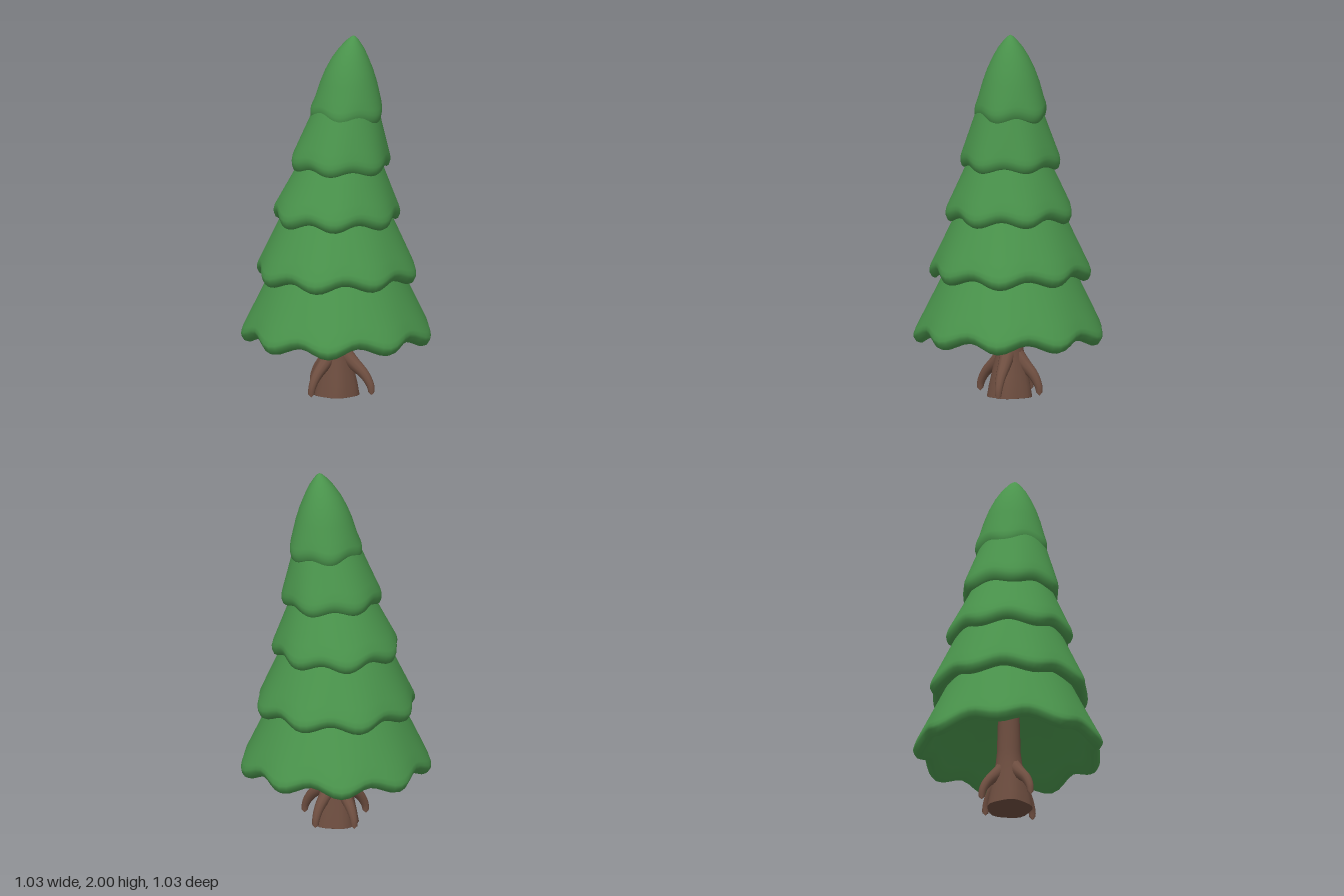
import * as THREE from 'three';

const green = new THREE.MeshStandardMaterial({ color: 0x4a944c });
green.name = 'needleGreen';
const brown = new THREE.MeshStandardMaterial({ color: 0x6e4e40 });
brown.name = 'barkBrown';

const lerp = THREE.MathUtils.lerp;

// Closed-loop loft: rings run from the inside/bottom to the top.
// point(ring, angle) returns [x, y, z].
function loft(rings, segments, point) {
  const pos = [], index = [];
  rings.forEach((ring, i) => {
    for (let j = 0; j < segments; j++) {
      pos.push(...point(ring, (j / segments) * Math.PI * 2));
      if (i === rings.length - 1) continue;
      const a = i * segments + j, c = i * segments + ((j + 1) % segments);
      const b = a + segments, d = c + segments;
      index.push(a, b, c, c, b, d);
    }
  });
  const geo = new THREE.BufferGeometry();
  geo.setAttribute('position', new THREE.Float32BufferAttribute(pos, 3));
  geo.setIndex(index);
  geo.computeVertexNormals();
  return geo;
}

function addMesh(group, name, geo, material) {
  const mesh = new THREE.Mesh(geo, material);
  mesh.name = name;
  group.add(mesh);
}

// One skirt of branches. Rings are [radius, y, scallop weight, centre x, centre z].
function tierGeometry({ y, R, topY, topR, x, topX, z, lobes, phase, wave, hollow, crown }) {
  const rings = [];
  const ring = (r, h, w, cx = x) => rings.push([r, h, w, cx, z]);
  // underside and rolled rim
  if (hollow) {
    ring(0.04, y + 0.42, 0);
    ring(R * 0.5, y + 0.24, 0.3);
    ring(R * 0.82, y + 0.06, 0.8);
  } else {
    ring(R * 0.72, y + 0.06, 0);
    ring(R * 0.84, y + 0.02, 0.6);
  }
  ring(R * 0.92, y - 0.005, 1);
  ring(R * 0.965, y + 0.003, 1);
  ring(R * 0.995, y + 0.027, 1);
  ring(R, y + 0.045, 0.95);
  ring(R * 0.985, y + 0.07, 0.8);
  // upper surface
  if (crown) {
    crown.forEach(([r, h, cx], i) => ring(r, h, i === 0 ? 0.4 : 0, cx));
  } else {
    for (let i = 1; i <= 6; i++) {
      const t = i / 6;
      ring(lerp(R * 0.985, topR, t), lerp(y + 0.07, topY, t), 0.8 * (1 - t) ** 1.3, lerp(x, topX, t));
    }
  }
  return loft(rings, 72, ([r, h, w, cx, cz], a) => {
    const s = Math.cos(lobes * (a - phase)) + 0.15 * Math.sin(3 * a + lobes);
    const rr = r * (1 + 0.033 * s * w);
    return [cx + rr * Math.cos(a), h - wave * s * w, cz + rr * Math.sin(a)];
  });
}

// Curved root tapering to a rounded tip.
function rootGeometry(x, z) {
  const at = (f, y) => new THREE.Vector3(x * f, y, z * f);
  const curve = new THREE.CatmullRomCurve3([
    at(0.12, 0.25), at(0.45, 0.185), at(0.8, 0.12), at(0.97, 0.06), at(1, 0.012),
  ]);
  const steps = 18, sides = 10;
  const geo = new THREE.TubeGeometry(curve, steps, 1, sides);
  const p = geo.attributes.position, v = new THREE.Vector3();
  for (let i = 0; i <= steps; i++) {
    const t = i / steps, centre = curve.getPointAt(t);
    const radius = i === steps ? 0.001 : lerp(0.046, 0.016, t);
    for (let j = 0; j <= sides; j++) {
      const k = i * (sides + 1) + j;
      v.fromBufferAttribute(p, k).sub(centre).multiplyScalar(radius).add(centre);
      p.setXYZ(k, v.x, Math.max(v.y, 0), v.z);
    }
  }
  return geo;
}

export function createModel() {
  const tree = new THREE.Group();
  tree.name = 'pineTree';

  // branch tiers, bottom to top
  const half = Math.PI / 2;
  const tiers = [
    { y: 0.325, R: 0.508, topY: 0.78, topR: 0.31, x: 0, topX: 0, z: 0, lobes: 9, phase: 0, wave: 0.024, hollow: true },
    { y: 0.665, R: 0.43, topY: 1.1, topR: 0.25, x: -0.003, topX: 0, z: 0, lobes: 8, phase: 0, wave: 0.02 },
    { y: 0.985, R: 0.34, topY: 1.38, topR: 0.185, x: 0, topX: 0.03, z: 0.003, lobes: 7, phase: Math.PI, wave: 0.018 },
    { y: 1.275, R: 0.265, topY: 1.64, topR: 0.16, x: 0.025, topX: 0.058, z: -0.004, lobes: 6, phase: half, wave: 0.013 },
    {
      y: 1.545, R: 0.195, x: 0.056, z: -0.015, lobes: 5, phase: half, wave: 0.012,
      crown: [
        [0.177, 1.66, 0.06], [0.155, 1.74, 0.063], [0.13, 1.81, 0.067], [0.1, 1.875, 0.072],
        [0.068, 1.93, 0.08], [0.035, 1.972, 0.086], [0.015, 1.992, 0.09], [0.0005, 2, 0.092],
      ],
    },
  ];
  tiers.forEach((t, i) => addMesh(tree, `branchTier${i + 1}`, tierGeometry(t), green));

  // flared trunk with closed foot, leaning a little at the base
  const trunkRings = [
    [0.0005, 0, 0], [0.122, 0, 1], [0.122, 0.001, 1], [0.112, 0.06, 1], [0.1, 0.12, 0.8],
    [0.086, 0.19, 0.5], [0.073, 0.26, 0.2], [0.065, 0.33, 0], [0.06, 0.5, 0], [0.05, 0.78, 0],
  ];
  addMesh(tree, 'trunk', loft(trunkRings, 24, ([r, y, w], a) => {
    const rr = r * (1 + 0.04 * w * Math.cos(5 * a));
    return [rr * Math.cos(a) - 0.008 * (1 - w), y, rr * Math.sin(a)];
  }), brown);

  // roots
  const roots = [[0.207, 0.035], [-0.095, 0.178], [-0.158, -0.09], [0.04, -0.168]];
  roots.forEach(([x, z], i) => addMesh(tree, `root${i + 1}`, rootGeometry(x, z), brown));

  return tree;
}
